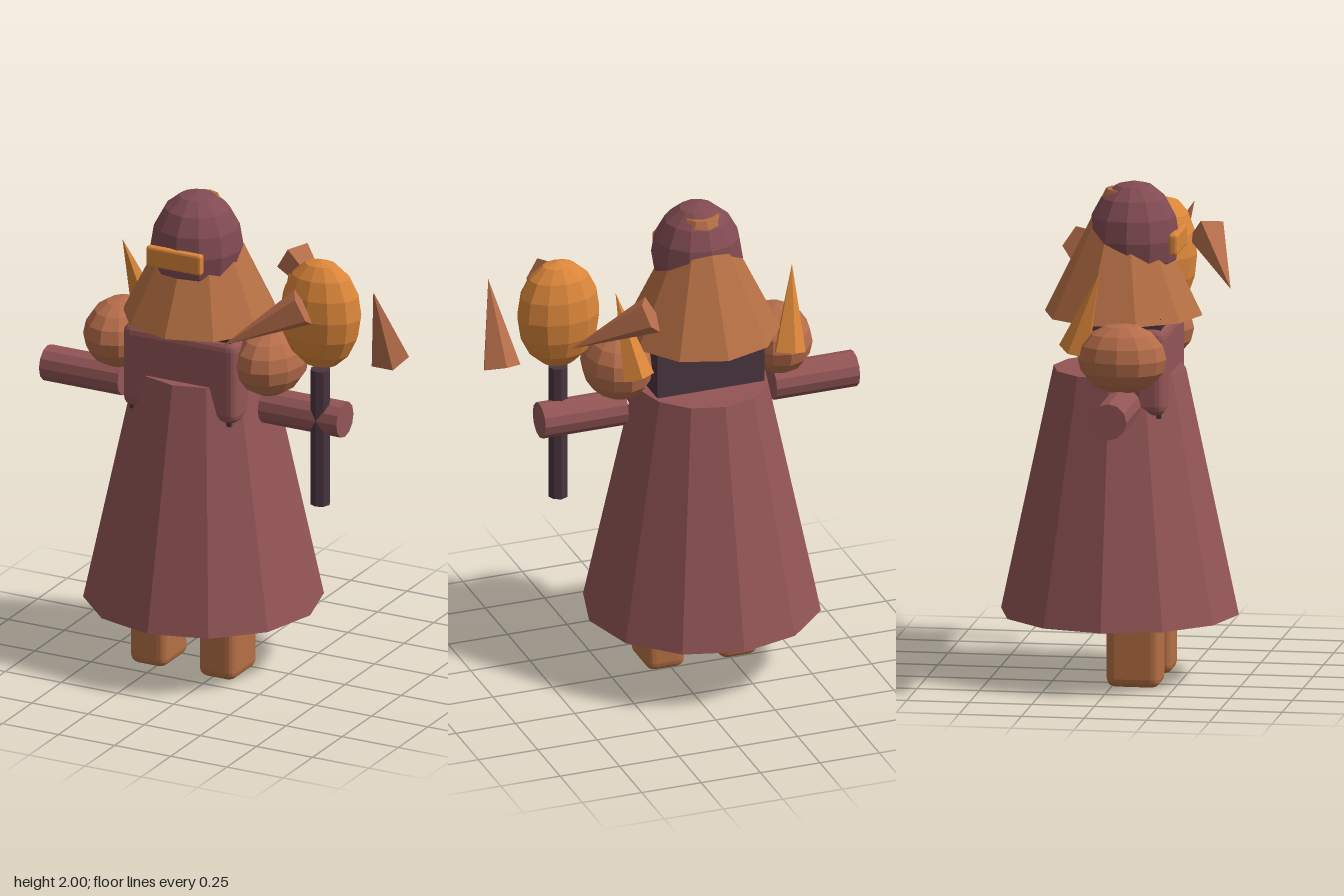
import * as THREE from 'three';
import { RoundedBoxGeometry } from 'three/addons/geometries/RoundedBoxGeometry.js';

const mat = (name, color) => {
  const m = new THREE.MeshStandardMaterial({ color, flatShading: true });
  m.name = name;
  return m;
};

export function createModel() {
  const red = mat('robeRed', 0x935556);
  const plum = mat('headPlum', 0x814b52);
  const copper = mat('copper', 0xb56d4a);
  const tan = mat('hoodTan', 0xb56f44);
  const amber = mat('amber', 0xdb863a);
  const dark = mat('darkPlum', 0x4a353f);

  const model = new THREE.Group();
  model.name = 'robedFigure';
  const MID = -0.13; // x of the figure's own centre line

  const add = (name, geometry, material, x, y, z) => {
    const mesh = new THREE.Mesh(geometry, material);
    mesh.name = name;
    mesh.position.set(x, y, z);
    model.add(mesh);
    return mesh;
  };
  const ellipsoid = (rx, ry, rz, w = 12, h = 8) => new THREE.SphereGeometry(1, w, h).scale(rx, ry, rz);
  const spikeGeometry = (r, h) => new THREE.ConeGeometry(r, h, 5).rotateY(Math.PI);

  // Body
  add('robe', new THREE.CylinderGeometry(0.265, 0.475, 0.98, 12), red, MID, 0.76, 0);
  add('torso', new THREE.BoxGeometry(0.45, 0.4, 0.3), dark, MID, 1.29, 0.05);
  add('chestPlate', new RoundedBoxGeometry(0.51, 0.35, 0.14, 2, 0.04), red, MID, 1.275, 0.15);

  // Head, hood and visor
  add('hood', new THREE.CylinderGeometry(0.07, 0.315, 0.5, 10), tan, MID, 1.718, 0.015);
  add('head', ellipsoid(0.184, 0.225, 0.182), plum, MID, 1.775, 0.056);
  add('visor', new RoundedBoxGeometry(0.245, 0.085, 0.035, 1, 0.01), amber, MID - 0.005, 1.768, 0.232);

  // Paired parts
  for (const [side, s] of [['left', 1], ['right', -1]]) {
    add(side + 'Leg', new RoundedBoxGeometry(0.162, 0.42, 0.215, 2, 0.035), tan, MID + s * 0.153, 0.215, 0.087);
    add(side + 'Shoulder', ellipsoid(0.14, 0.14, 0.178), copper, MID + s * 0.335, 1.35, 0.063);
    const arm = add(side + 'Arm', new THREE.CylinderGeometry(0.073, 0.073, 0.35, 12), red, MID + s * 0.487, 1.155, 0.062);
    arm.rotation.z = Math.PI / 2;
    const spike = add(side + 'ShoulderSpike', spikeGeometry(0.067, 0.35), amber, MID + s * 0.345, 1.538, -0.073);
    spike.rotation.set(0.31, 0, -s * 0.16, 'ZYX');
  }

  // Staff with orb
  const ORB = [0.44, 1.6, 0.092];
  add('staff', new THREE.CylinderGeometry(0.04, 0.04, 0.57, 8), dark, 0.44, 1.08, 0.095);
  add('orb', ellipsoid(0.172, 0.228, 0.122), amber, ...ORB);

  // Three spikes circling the orb
  for (let i = 0; i < 3; i++) {
    const a = (i * Math.PI * 2) / 3;
    const spike = add('orbSpike' + (i + 1), spikeGeometry(0.08, 0.352), copper,
      ORB[0] + 0.27 * Math.cos(a), ORB[1], ORB[2] + 0.27 * Math.sin(a));
    spike.rotation.set(0.395, 0, a, 'ZYX');
  }
  return model;
}
